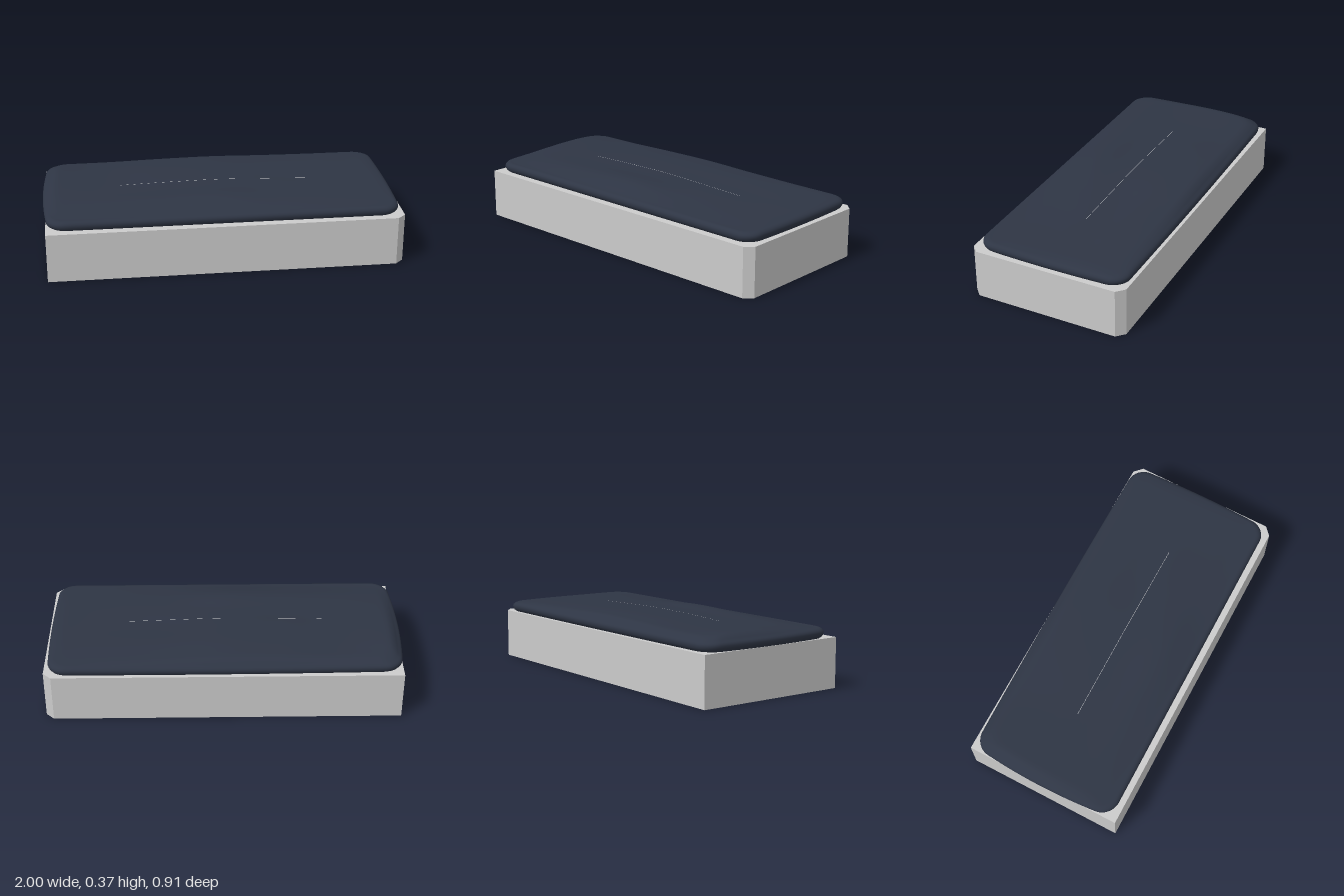
import * as THREE from 'three';

const BASE_TOP = 0.28, RIM = 0.333;

// Heights of the cushion's top in thousandths: rows run back to front, columns run -x to +x
const TOP = [
  [354, 353, 360, 363, 354, 346, 337],
  [364, 357, 367, 370, 360, 350, 340],
  [362, 357, 366, 369, 357, 348, 340],
  [355, 355, 361, 366, 359, 346, 338],
  [345, 353, 363, 370, 353, 342, 336],
  [331, 333, 335, 336, 335, 334, 332],
];

// Smooth Catmull-Rom sample of evenly spaced values
function sample(values, t) {
  const last = values.length - 1;
  t = THREE.MathUtils.clamp(t, 0, last);
  const i = Math.min(Math.floor(t), last - 1), f = t - i;
  const at = k => values[THREE.MathUtils.clamp(k, 0, last)];
  const [a, b, c, d] = [at(i - 1), at(i), at(i + 1), at(i + 2)];
  return b + 0.5 * f * (c - a + f * (2 * a - 5 * b + 4 * c - d + f * (3 * (b - c) + d - a)));
}

const topHeight = (x, z) =>
  sample(TOP.map(row => sample(row, (x + 0.96) / 0.32)), (z + 0.4) / 0.16) / 1000;

// Rounded rectangle inset by d, with the same number of points at every inset
function outline(d) {
  const hx = 0.972 - d, hz = 0.43 - d, r = 0.09 * (1 - d / 0.43);
  const points = [];
  for (let c = 0; c < 4; c++) {
    const sx = c === 0 || c === 3 ? 1 : -1, sz = c < 2 ? 1 : -1;
    for (let k = 0; k <= 8; k++) {
      const a = (c + k / 8) * Math.PI / 2;
      points.push([sx * (hx - r) + r * Math.cos(a), sz * (hz - r) + r * Math.sin(a)]);
    }
    // Straight run to the next corner
    const [x0, z0] = points[points.length - 1];
    const long = c % 2 === 0, n = long ? 44 : 22;
    for (let k = 1; k < n; k++) {
      points.push(long
        ? [x0 - 2 * sx * (hx - r) * k / n, z0]
        : [x0, z0 - 2 * sz * (hz - r) * k / n]);
    }
  }
  // Bow the ends outwards and the back edge slightly
  return points.map(([x, z]) => {
    const bow = 1 - (z / 0.43) ** 2;
    const back = z < 0 ? 1 + 0.02 * (1 - (x - 0.3) ** 2) * (-z / 0.43) : 1;
    return [x * (1 + (x < 0 ? 0.028 : 0.014) * bow), z * back - 0.008];
  });
}

function cushionGeometry() {
  // Side rings as [inset, height], then top rings that follow the height field
  const rings = [[0.016, 0.28], [0.007, 0.288], [0.002, 0.298], [0, 0.31],
    [0.003, 0.32], [0.01, 0.328], [0.02, RIM]];
  for (const d of [0.03, 0.04, 0.055, 0.07, 0.09]) rings.push([d, null]);
  for (let i = 1; i <= 16; i++) rings.push([0.09 + 0.339 * i / 16, null]);

  const positions = [], indices = [];
  let n = 0;
  for (const [d, y] of rings) {
    const points = outline(d);
    n = points.length;
    const rise = 1 - (1 - Math.min(1, (d - 0.02) / 0.06)) ** 2;
    for (const [x, z] of points) {
      positions.push(x, y ?? RIM + (topHeight(x, z) - RIM) * rise, z);
    }
  }
  for (let i = 0; i < rings.length - 1; i++) {
    for (let j = 0; j < n; j++) {
      const a = i * n + j, b = i * n + (j + 1) % n;
      indices.push(a, a + n, b, b, a + n, b + n);
    }
  }
  const geometry = new THREE.BufferGeometry();
  geometry.setAttribute('position', new THREE.Float32BufferAttribute(positions, 3));
  geometry.setIndex(indices);
  geometry.computeVertexNormals();
  return geometry;
}

export function createModel() {
  const group = new THREE.Group();
  group.name = 'cushionedBench';

  // Solid base with two chamfered corners at the +x end
  const plan = new THREE.Shape([
    [-0.985, -0.453], [0.955, -0.453], [1, -0.41],
    [1, 0.41], [0.955, 0.453], [-0.985, 0.453],
  ].map(([x, y]) => new THREE.Vector2(x, y)));
  const baseGeometry = new THREE.ExtrudeGeometry(plan, { depth: BASE_TOP, bevelEnabled: false });
  baseGeometry.rotateX(-Math.PI / 2);
  const base = new THREE.Mesh(baseGeometry, new THREE.MeshStandardMaterial({ color: 0xcccccc }));
  base.name = 'base';

  // Soft, uneven cushion
  const cushion = new THREE.Mesh(cushionGeometry(),
    new THREE.MeshStandardMaterial({ color: 0x2e3544, side: THREE.DoubleSide }));
  cushion.name = 'cushion';

  group.add(base, cushion);
  return group;
}
